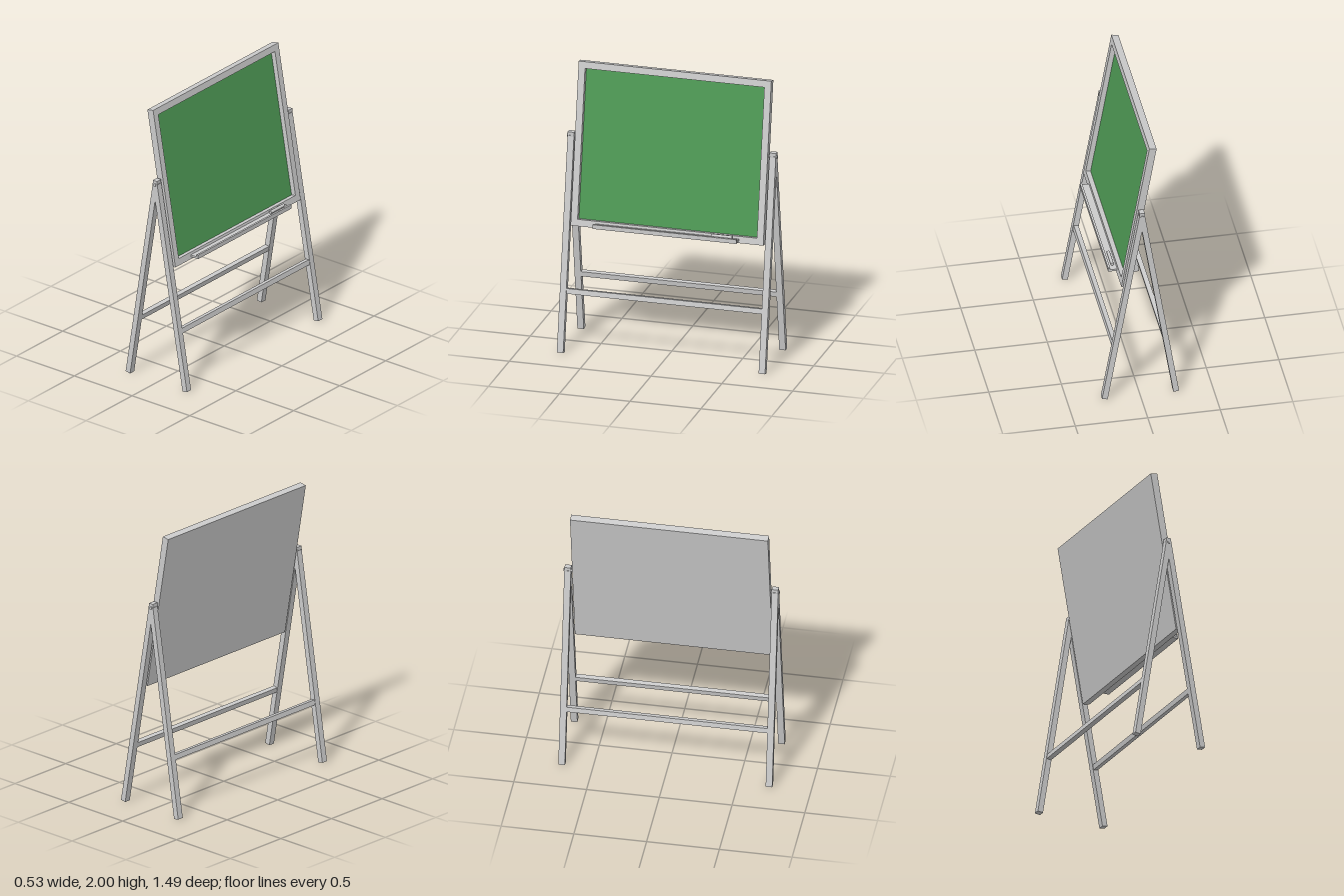
import * as THREE from 'three';

const grey = new THREE.MeshStandardMaterial({ color: 0xcccccc, flatShading: true });
const green = new THREE.MeshStandardMaterial({ color: 0x4f9a55, flatShading: true });
const smooth = new THREE.MeshStandardMaterial({ color: 0xcccccc });

function add(parent, name, geometry, x, y, z, material = grey) {
  const mesh = new THREE.Mesh(geometry, material);
  mesh.name = name;
  mesh.position.set(x, y, z);
  parent.add(mesh);
  return mesh;
}
const box = (x, y, z) => new THREE.BoxGeometry(x, y, z);
const rod = (r, length) => new THREE.CylinderGeometry(r, r, length, 20).rotateX(Math.PI / 2);

export function createModel() {
  const model = new THREE.Group();
  model.name = 'easelBoard';
  const pivot = { x: -0.013, y: 1.48 };

  // Two leg frames, leaning to a shared pivot and tied by a crossbar
  for (const [name, footX] of [['front', 0.245], ['back', -0.248]]) {
    const dx = pivot.x - footX, dy = pivot.y - 0.003;
    const length = Math.hypot(dx, dy);
    const frame = new THREE.Group();
    frame.name = name + 'LegFrame';
    frame.position.set(footX, 0.003, 0);
    frame.rotation.z = Math.atan2(-dx, dy);
    for (const side of [1, -1]) {
      add(frame, name + 'Leg', box(0.039, length + 0.01, 0.045), 0, (length + 0.01) / 2, side * 0.7125);
    }
    add(frame, name + 'Crossbar', box(0.033, 0.036, 1.38), 0, 0.428, 0);
    model.add(frame);
  }

  // Hinge blocks and bolts joining the legs to the board
  for (const side of [1, -1]) {
    add(model, 'hingeBlock', box(0.036, 0.07, 0.0456), pivot.x, 1.475, side * 0.7125);
    add(model, 'hingeBolt', rod(0.011, 0.075), pivot.x, pivot.y, side * 0.705, smooth);
  }

  // Tilted board: a frame with a hole, a recessed writing face and a flush back
  const board = new THREE.Group();
  board.name = 'board';
  board.position.set(-0.001, 1.4355, 0);
  board.rotation.z = 0.171;
  const halfW = 0.68, halfH = 0.5685, rim = 0.047, depth = 0.05;
  const rect = (T, w, h) => new T([
    new THREE.Vector2(-w, -h), new THREE.Vector2(w, -h),
    new THREE.Vector2(w, h), new THREE.Vector2(-w, h),
  ]);
  const outline = rect(THREE.Shape, halfW, halfH);
  outline.holes.push(rect(THREE.Path, halfW - rim, halfH - rim));
  const frameGeometry = new THREE.ExtrudeGeometry(outline, { depth, bevelEnabled: false });
  frameGeometry.translate(0, 0, -depth / 2).rotateY(Math.PI / 2);
  add(board, 'boardFrame', frameGeometry, 0, 0, 0);
  const innerW = 2 * (halfW - rim), innerH = 2 * (halfH - rim);
  add(board, 'backPanel', box(0.01, innerH, innerW), -0.02, 0, 0);
  add(board, 'writingSurface', box(0.006, innerH, innerW), -0.012, 0, 0, green);
  model.add(board);

  // Chalk tray with a raised lip, and a stick of chalk
  add(model, 'tray', box(0.066, 0.014, 1.014), 0.145, 0.901, 0);
  add(model, 'trayLip', box(0.014, 0.016, 1.014), 0.171, 0.916, 0);
  add(model, 'chalk', rod(0.011, 0.145), 0.142, 0.924, -0.395, smooth);

  return model;
}
